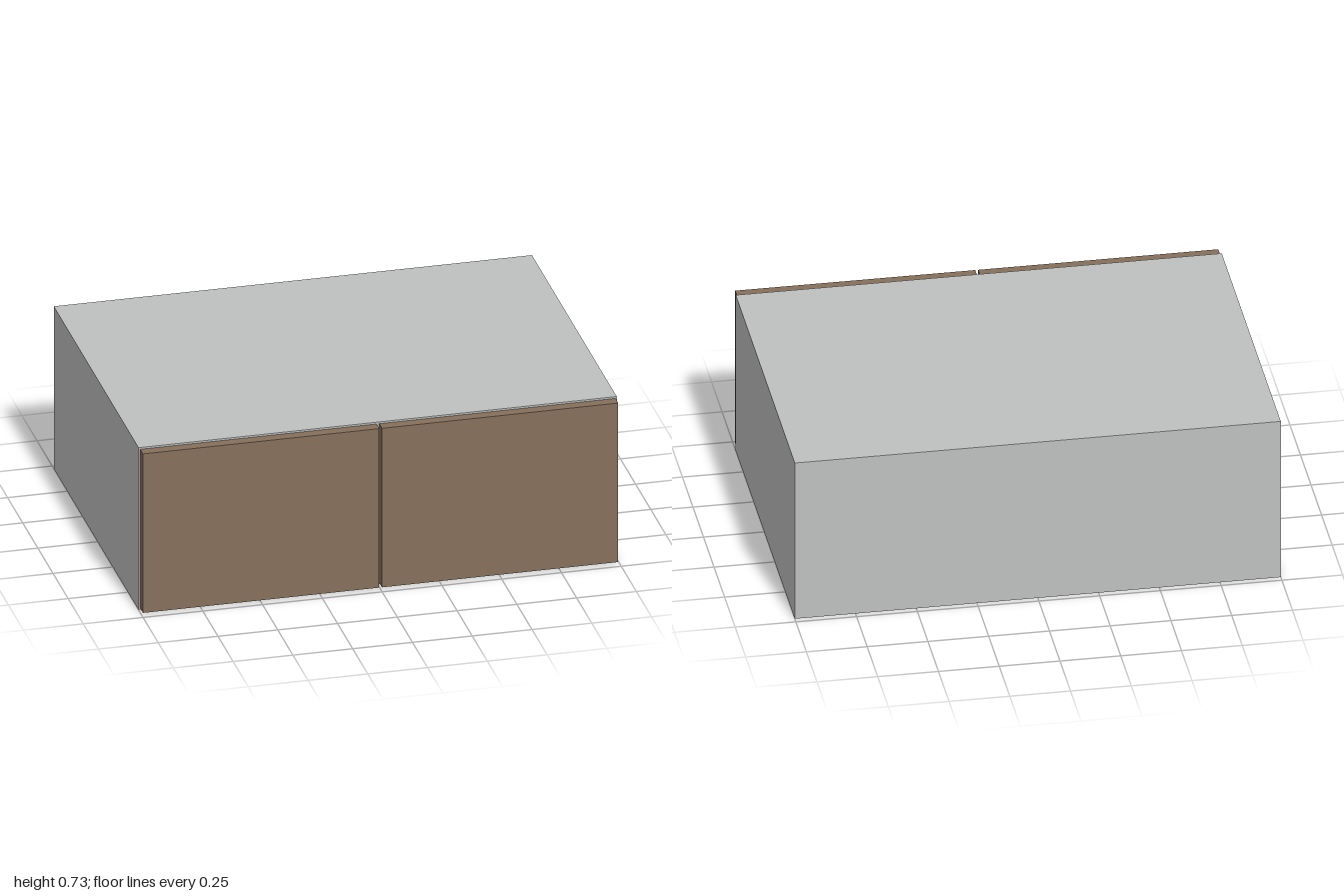
import * as THREE from 'three';

export function createModel() {
  const cabinet = new THREE.Group();
  cabinet.name = 'cabinet';

  const greyPanel = new THREE.MeshStandardMaterial({ color: 0xbfc1c0 });
  greyPanel.name = 'grey panel';
  const brownWood = new THREE.MeshStandardMaterial({ color: 0x866f5c });
  brownWood.name = 'brown wood';

  // Box given by its lower and upper limits on each axis
  function panel(name, material, [x0, x1], [y0, y1], [z0, z1]) {
    const mesh = new THREE.Mesh(new THREE.BoxGeometry(x1 - x0, y1 - y0, z1 - z0), material);
    mesh.position.set((x0 + x1) / 2, (y0 + y1) / 2, (z0 + z1) / 2);
    mesh.name = name;
    cabinet.add(mesh);
  }

  const H = 0.726, T = 0.04;           // carcass height and board thickness
  const BACK = -0.724, FRONT = 0.676;  // carcass depth limits

  // Hollow carcass; the back board laps over the end of the right side
  panel('leftSide', greyPanel, [1 - T, 1], [0, H], [BACK, FRONT]);
  panel('rightSide', greyPanel, [-1, -1 + T], [0, H], [BACK + T, FRONT]);
  panel('backPanel', greyPanel, [-1, 1 - T], [0, H], [BACK, BACK + T]);
  panel('bottomPanel', greyPanel, [-1 + T, 1 - T], [0, T], [BACK + T, FRONT]);
  panel('topPanel', greyPanel, [-1 + T, 1 - T], [H - T, H], [BACK + T, FRONT]);

  // Pair of doors with a narrow gap between them
  panel('leftDoor', brownWood, [0.006, 0.994], [0.008, 0.719], [0.678, 0.724]);
  panel('rightDoor', brownWood, [-0.994, -0.006], [0.008, 0.719], [0.678, 0.724]);

  return cabinet;
}
